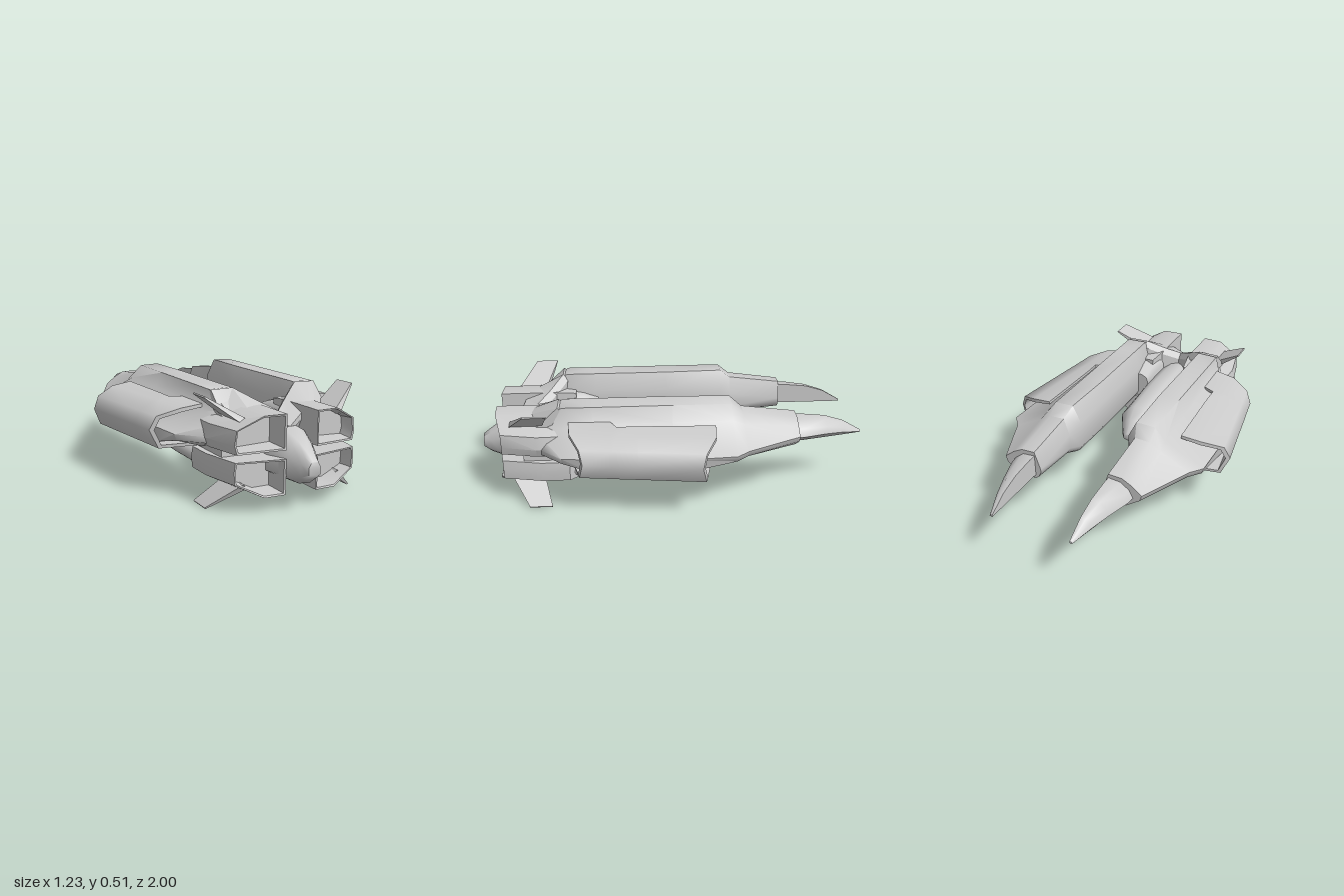
import * as THREE from 'three';
import { toCreasedNormals } from 'three/addons/utils/BufferGeometryUtils.js';

const MID = 0.255; // height about which upper and lower front parts mirror

// Closed solid through rings of [x, y, z] points; winding is fixed by its volume.
function loft(rings, crease = 0.6) {
  const n = rings[0].length;
  const pts = rings.flat();
  const idx = [];
  for (let i = 0; i < rings.length - 1; i++) {
    for (let j = 0; j < n; j++) {
      const a = i * n + j, b = i * n + (j + 1) % n;
      idx.push(a, b, b + n, a, b + n, a + n);
    }
  }
  // End caps join opposite points in strips, which also suits C-shaped rings
  const cap = (o, flip) => {
    for (let j = 0; j < n / 2 - 1; j++) {
      const a = o + j, b = o + j + 1, c = o + n - 2 - j, d = o + n - 1 - j;
      const t = flip ? [a, c, b, a, d, c] : [a, b, c, a, c, d];
      idx.push(...t);
    }
  };
  cap(0, true);
  cap((rings.length - 1) * n, false);

  const V = (i) => new THREE.Vector3(...pts[i]);
  let volume = 0;
  for (let i = 0; i < idx.length; i += 3) {
    volume += V(idx[i]).dot(V(idx[i + 1]).cross(V(idx[i + 2])));
  }
  if (volume < 0) idx.reverse();

  const geo = new THREE.BufferGeometry();
  geo.setAttribute('position', new THREE.Float32BufferAttribute(pts.flat(), 3));
  geo.setIndex(idx);
  return toCreasedNormals(geo, crease);
}

const ring = (z, pts) => pts.map(([x, y]) => [x, y, typeof z === 'function' ? z(x, y) : z]);
const flipX = (rings) => rings.map((r) => r.map(([x, y, z]) => [-x, y, z]));
const flipY = (rings) => rings.map((r) => r.map(([x, y, z]) => [x, 2 * MID - y, z]));

export function createModel() {
  const model = new THREE.Group();
  const material = new THREE.MeshStandardMaterial({ color: 0xcccccc, side: THREE.DoubleSide });
  const add = (name, rings, crease) => {
    const mesh = new THREE.Mesh(loft(rings, crease), material);
    mesh.name = name;
    model.add(mesh);
  };
  const addPair = (name, rings, crease) => {
    add(name + 'Left', rings, crease);
    add(name + 'Right', flipX(rings), crease);
  };

  // Central fuselage: half width, bottom, top at each station
  const hull = (z, w, lo, hi) => {
    const h = hi - lo;
    const half = [[0.15, 0], [0.6, 0.09], [1, 0.2], [1, 0.65], [0.64, 0.9], [0.3, 1]];
    const right = half.map(([x, y]) => [x * w, lo + y * h]);
    return ring(z, [...right, ...right.slice().reverse().map(([x, y]) => [-x, y])]);
  };
  add('fuselage', [
    hull(-0.025, 0.03, 0.185, 0.225), hull(0.04, 0.07, 0.145, 0.28), hull(0.12, 0.112, 0.115, 0.32),
    hull(0.4, 0.115, 0.115, 0.35), hull(0.8, 0.118, 0.115, 0.35), hull(0.9, 0.075, 0.115, 0.31),
    hull(0.96, 0.045, 0.135, 0.27), hull(1, 0.03, 0.165, 0.24),
  ], 1.1);

  // Long boom flaring outward into a wing edge
  const boom = (z, inX, lo, tip, tipY, tipH, sh, topOut, topIn, hi) => ring(z, [
    [inX + 0.03, lo], [0.29, lo], [tip - 0.01, tipY - tipH], [tip, tipY], sh,
    [topOut, hi - 0.003], [topIn, hi], [inX, hi - 0.09], [inX, lo + 0.04], [inX + 0.012, lo + 0.015],
  ]);
  addPair('boom', [
    boom(-0.64, 0.17, 0.27, 0.37, 0.35, 0.03, [0.32, 0.39], 0.27, 0.2, 0.42),
    boom(-0.36, 0.17, 0.245, 0.49, 0.34, 0.03, [0.34, 0.415], 0.28, 0.2, 0.455),
    boom(-0.3, 0.135, 0.235, 0.54, 0.34, 0.03, [0.335, 0.435], 0.28, 0.18, 0.505),
    boom(0.0, 0.135, 0.225, 0.54, 0.33, 0.085, [0.315, 0.425], 0.28, 0.17, 0.505),
    boom(0.4, 0.135, 0.225, 0.49, 0.32, 0.075, [0.305, 0.42], 0.28, 0.17, 0.505),
    boom(0.55, 0.15, 0.23, 0.455, 0.31, 0.03, [0.305, 0.4], 0.28, 0.17, 0.505),
    boom(0.66, 0.17, 0.27, 0.35, 0.31, 0.03, [0.3, 0.36], 0.25, 0.19, 0.43),
  ], 1);

  // Tail spike at the end of each boom
  const spike = (z, out, hi) => {
    const w = out - 0.2, h = hi - 0.29;
    return ring(z, [[0, 0], [0.7, 0], [1, 0.3], [0.85, 0.65], [0.5, 0.95], [0, 1]]
      .map(([x, y]) => [0.2 + x * w, 0.29 + y * h]));
  };
  addPair('tailSpike', [
    spike(-0.6, 0.33, 0.4), spike(-0.68, 0.322, 0.4), spike(-0.8, 0.283, 0.388),
    spike(-0.9, 0.25, 0.358), spike(-1, 0.215, 0.3),
  ], 0.9);

  // Outer pod: thin C-shaped shell wrapped round the wing edge
  const shell = (z, apexZ, inX, out) => {
    const t = 0.016;
    const outer = [[inX, 0.432], [out - 0.13, 0.418], [out - 0.03, 0.38], [out, 0.315], [out - 0.038, 0.228], [0.31, 0.236]];
    const inner = [[inX, 0.432 - t], [out - 0.135, 0.416 - t], [out - 0.045, 0.368], [out - t * 1.3, 0.315], [out - 0.05, 0.228 + t], [0.31, 0.236 + t]];
    const zAt = (x) => THREE.MathUtils.lerp(z, apexZ, THREE.MathUtils.clamp((x - out + 0.15) / 0.15, 0, 1));
    return ring(zAt, [...outer, ...inner.reverse()]);
  };
  addPair('outerPod', [
    shell(-0.21, -0.125, 0.38, 0.615), shell(0.18, 0.18, 0.365, 0.572),
    shell(0.28, 0.27, 0.365, 0.56), shell(0.31, 0.3, 0.305, 0.555), shell(0.52, 0.445, 0.3, 0.535),
  ], 0.95);

  // Front intakes: hollow ducts narrowing toward the lip, upper and lower
  const duct = [[0.08, 0.275], [0.34, 0.268], [0.355, 0.31], [0.343, 0.375], [0.19, 0.436], [0.08, 0.436]];
  const lowerDuct = [[0.08, 0.275], [0.35, 0.275], [0.357, 0.32], [0.352, 0.375], [0.185, 0.438], [0.08, 0.438]];
  const inset = (pts, s) => pts.map(([x, y]) => [0.2 + (x - 0.2) * s, 0.353 + (y - 0.353) * (s - 0.03)]);
  const narrow = (pts) => pts.map(([x, y]) => [x > 0.2 ? 0.2 + (x - 0.2) * 0.73 : x, y]);
  const lip = (x) => 0.9 - Math.max(0, x - 0.17) * 0.3;
  const bore = (pts) => {
    const front = narrow(pts);
    return [ring(lip, front), ring((x) => lip(x) - 0.003, inset(front, 0.93)), ring(0.79, inset(front, 0.82))];
  };
  addPair('upperIntake', [
    ring(0.5, inset(duct, 0.85)), ring(0.62, duct), ring(0.68, duct), ...bore(duct),
  ], 0.5);
  const trim = (pts, maxX, maxY) => pts.map(([x, y]) => [Math.min(x, maxX), Math.min(y, maxY)]);
  addPair('lowerIntake', flipY([
    ring(0.39, trim(inset(lowerDuct, 0.9), 0.25, 0.395)), ring(0.45, trim(lowerDuct, 0.29, 0.435)),
    ring(0.52, lowerDuct), ring(0.66, lowerDuct), ...bore(lowerDuct),
  ]), 0.5);

  // Narrow spacers tying upper and lower intakes together
  const box = (x0, x1, y0, y1, z0, z1) => [z0, z1].map((z) => ring(z, [[x0, y0], [x1, y0], [x1, y1], [x0, y1]]));
  addPair('intakeSpacer', box(0.1, 0.32, 0.22, 0.29, 0.45, 0.75));

  // Fins raked outward from the intakes, thicker at the root
  const fin = [
    [[0.25, 0.386, 0.66], [0.232, 0.412, 0.67], [0.232, 0.412, 0.82], [0.25, 0.386, 0.83]],
    [[0.392, 0.502, 0.615], [0.388, 0.508, 0.615], [0.388, 0.508, 0.73], [0.392, 0.502, 0.73]],
  ];
  addPair('upperFin', fin);
  addPair('lowerFin', flipY(fin));

  // V-shaped fairing between the booms, sloping down to the intakes
  const rib = (x, topZ, topY, frontZ, frontY, lo) => [
    [x, lo, topZ - 0.03], [x, topY - 0.03, topZ - 0.03], [x, topY, topZ], [x, frontY, frontZ], [x, frontY - 0.03, frontZ], [x, lo, frontZ - 0.02],
  ];
  const ribs = [
    rib(0.28, 0.57, 0.503, 0.69, 0.39, 0.33), rib(0.17, 0.57, 0.505, 0.74, 0.42, 0.33),
    rib(0.08, 0.635, 0.45, 0.77, 0.4, 0.33),
  ];
  add('bridgeFairing', [...ribs, rib(0, 0.7, 0.405, 0.8, 0.35, 0.31), ...flipX(ribs).reverse()], 0.4);

  // Rounded braces beside the fuselage under the booms
  addPair('innerBrace', [
    ring(0.38, [[0.075, 0.24], [0.17, 0.24], [0.17, 0.38], [0.115, 0.38], [0.085, 0.365], [0.075, 0.34]]),
    ring(0.46, [[0.075, 0.24], [0.18, 0.24], [0.18, 0.41], [0.13, 0.405], [0.09, 0.385], [0.075, 0.35]]),
    ring(0.66, [[0.075, 0.24], [0.19, 0.24], [0.19, 0.44], [0.13, 0.43], [0.085, 0.4], [0.075, 0.36]]),
  ], 1);

  // Capsules trailing from the lower intakes, cut at a slant behind
  const capsule = (z, s) => ring((x, y) => z + (0.172 - y) * 0.25, Array.from({ length: 12 }, (_, i) => {
    const a = (i / 12) * Math.PI * 2;
    return [0.275 + Math.cos(a) * 0.06 * s, 0.172 + Math.sin(a) * 0.043 * s];
  }));
  addPair('lowerCapsule', [capsule(0.17, 0.8), capsule(0.19, 0.97), capsule(0.25, 1), capsule(0.51, 1)], 0.8);

  return model;
}
